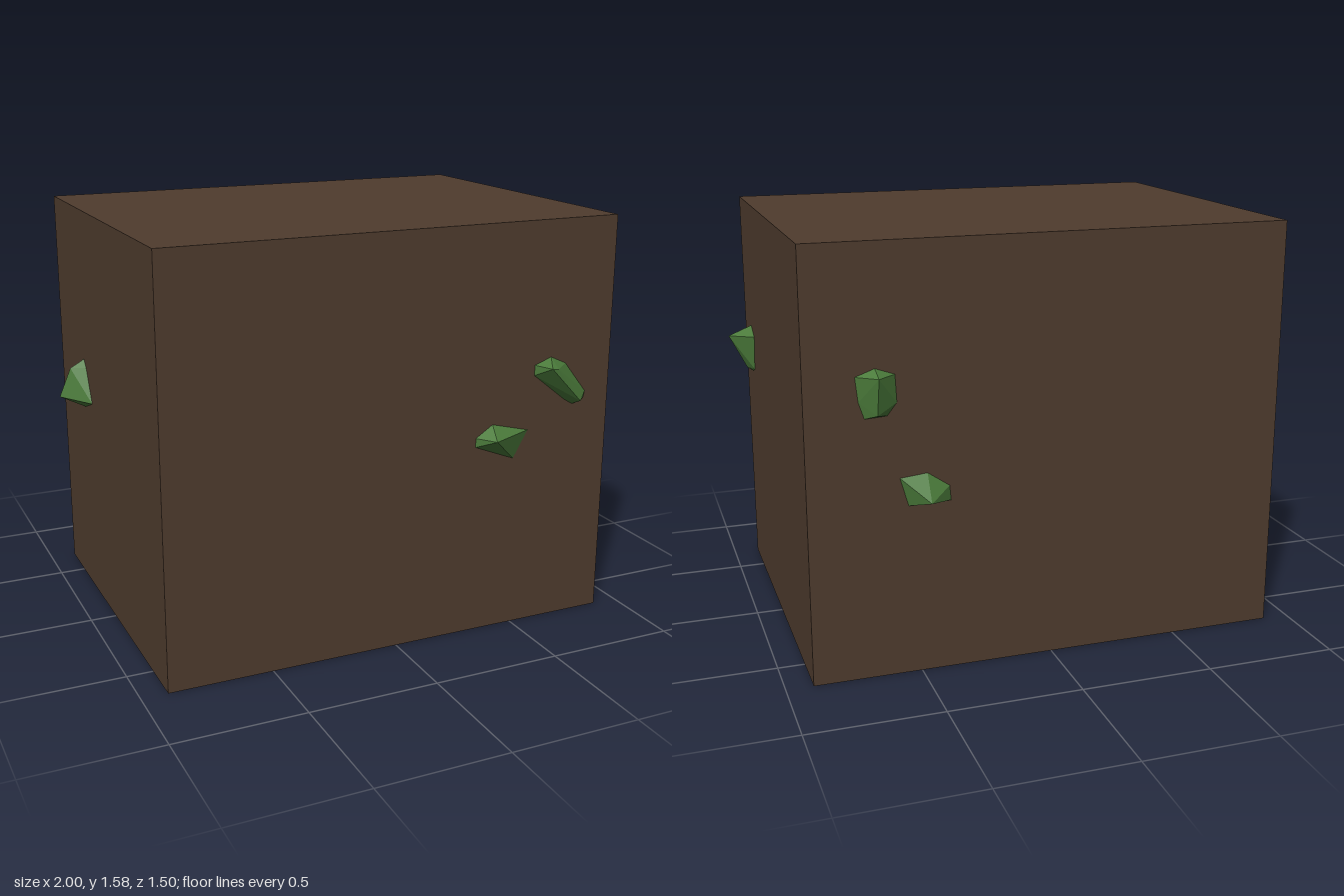
import * as THREE from 'three';
import { ConvexGeometry } from 'three/addons/geometries/ConvexGeometry.js';

const W = 1.8, H = 1.58, D = 1.356;
const earth = new THREE.MeshStandardMaterial({ color: 0x4f3c2e, flatShading: true });
const green = new THREE.MeshStandardMaterial({ color: 0x4a7a3a, flatShading: true });

// Each wall turns (along, up, outward) into x, y, z
const walls = {
  front: (a, y, h) => new THREE.Vector3(a, y, D / 2 + h),
  back: (a, y, h) => new THREE.Vector3(a, y, -D / 2 - h),
  left: (a, y, h) => new THREE.Vector3(W / 2 + h, y, a),
  right: (a, y, h) => new THREE.Vector3(-W / 2 - h, y, a),
};

// A faceted nugget: a rim set into the wall and peaks standing out of it
function nugget(name, wall, rim, peaks) {
  const place = walls[wall];
  const points = peaks.map(([a, y, h]) => place(a, y, h));
  for (const [a, y] of rim) points.push(place(a, y, 0), place(a, y, -0.03));
  const mesh = new THREE.Mesh(new ConvexGeometry(points), green);
  mesh.name = name;
  return mesh;
}

export function createModel() {
  const group = new THREE.Group();
  group.name = 'oreBlock';

  // Main block
  const block = new THREE.Mesh(new THREE.BoxGeometry(W, H, D), earth);
  block.name = 'block';
  block.position.y = H / 2;
  group.add(block);

  // Nuggets on the four walls
  group.add(
    nugget('frontUpperNugget', 'front',
      [[0.565, 1.035], [0.635, 1.06], [0.7, 1.03], [0.795, 0.91], [0.79, 0.885], [0.74, 0.865], [0.705, 0.885], [0.565, 0.995]],
      [[0.605, 1.03, 0.06], [0.635, 1.025, 0.055], [0.75, 0.885, 0.04]]),
    nugget('frontLowerNugget', 'front',
      [[0.32, 0.78], [0.39, 0.825], [0.545, 0.785], [0.485, 0.68], [0.32, 0.745]],
      [[0.37, 0.78, 0.072]]),
    nugget('leftNugget', 'left',
      [[0.51, 1.065], [0.435, 1.03], [0.465, 0.887], [0.51, 0.87], [0.548, 0.89], [0.585, 0.965], [0.556, 1.03]],
      [[0.494, 1.03, 0.097], [0.506, 0.888, 0.025]]),
    nugget('rightNugget', 'right',
      [[-0.31, 0.98], [-0.345, 0.95], [-0.385, 0.82], [-0.32, 0.78], [-0.21, 0.82], [-0.28, 0.95]],
      [[-0.315, 0.947, 0.055], [-0.33, 0.83, 0.1]]),
    nugget('backUpperNugget', 'back',
      [[0.65, 1.145], [0.58, 1.12], [0.575, 1.02], [0.61, 0.975], [0.69, 0.97], [0.71, 1.03], [0.72, 1.12]],
      [[0.648, 1.12, 0.055], [0.65, 0.985, 0.03]]),
    nugget('backLowerNugget', 'back',
      [[0.57, 0.745], [0.47, 0.755], [0.39, 0.7], [0.385, 0.645], [0.54, 0.64]],
      [[0.475, 0.665, 0.075]]),
  );
  return group;
}
